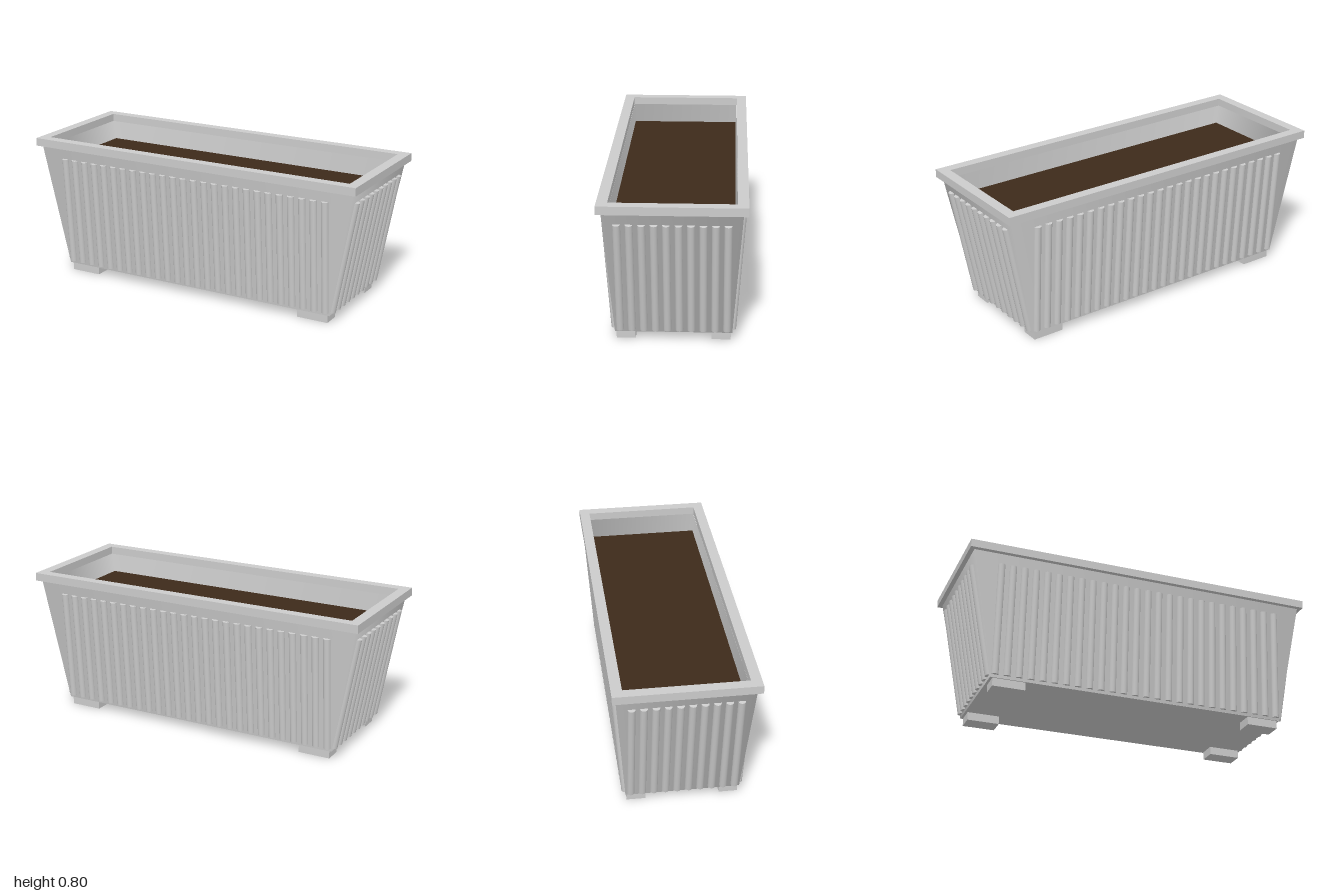
import * as THREE from 'three';

const BASE_Y = 0.045, WALL_TOP = 0.756;
const BASE = { x: 0.842, z: 0.305 }, TOP = { x: 0.975, z: 0.355 };

// Outer half-size of the tapered tub at height y
function wallAt(y, axis) {
  const t = (y - BASE_Y) / (WALL_TOP - BASE_Y);
  return THREE.MathUtils.lerp(BASE[axis], TOP[axis], t);
}

// Four-sided tapered wall with softly blended corners
function taperedWall(y0, y1, inset) {
  const h = y1 - y0;
  const topX = wallAt(y1, 'x') - inset, topZ = wallAt(y1, 'z') - inset;
  const ratio = (wallAt(y0, 'x') - inset) / topX;
  const geo = new THREE.CylinderGeometry(Math.SQRT2, Math.SQRT2 * ratio, h, 4, 1, true);
  geo.rotateY(Math.PI / 4);
  geo.scale(topX, 1, topZ);
  geo.translate(0, (y0 + y1) / 2, 0);
  return geo;
}

export function createModel() {
  const model = new THREE.Group();
  const grey = new THREE.MeshStandardMaterial({ color: 0xcccccc });
  const greyThin = new THREE.MeshStandardMaterial({ color: 0xcccccc, side: THREE.DoubleSide });
  const brown = new THREE.MeshStandardMaterial({ color: 0x3d2a1a });

  function add(name, geometry, material = grey, parent = model) {
    const mesh = new THREE.Mesh(geometry, material);
    mesh.name = name;
    parent.add(mesh);
    return mesh;
  }

  // Tub walls and floor
  add('outerWall', taperedWall(BASE_Y, WALL_TOP, 0), grey);
  add('innerWall', taperedWall(0.08, WALL_TOP, 0.033), greyThin);
  add('floor', new THREE.BoxGeometry(BASE.x * 2, 0.035, BASE.z * 2)).position.y = BASE_Y + 0.0175;

  // Soil
  add('soil', new THREE.BoxGeometry(1.84, 0.04, 0.634), brown).position.y = 0.63;

  // Rim frame
  const frame = new THREE.Shape([[-1, -0.38], [1, -0.38], [1, 0.38], [-1, 0.38]]
    .map(([x, y]) => new THREE.Vector2(x, y)));
  frame.holes.push(new THREE.Path([[-0.942, -0.323], [-0.942, 0.323], [0.942, 0.323], [0.942, -0.323]]
    .map(([x, y]) => new THREE.Vector2(x, y))));
  const rimGeo = new THREE.ExtrudeGeometry(frame, { depth: 0.045, bevelEnabled: false });
  rimGeo.rotateX(-Math.PI / 2);
  add('rim', rimGeo).position.y = 0.755;

  // Rounded slats, half sunk into the sloping walls
  const y0 = 0.061, y1 = 0.692;
  const slatRow = (name, axis, sign, count, reach) => {
    const row = new THREE.Group();
    row.name = name;
    const low = wallAt(y0, axis), high = wallAt(y1, axis);
    const tilt = Math.atan2(high - low, y1 - y0);
    const geo = new THREE.CylinderGeometry(0.02, 0.02, Math.hypot(high - low, y1 - y0), 12);
    for (let i = 0; i < count; i++) {
      const along = THREE.MathUtils.lerp(-reach, reach, i / (count - 1));
      const out = sign * (low + high) / 2;
      const slat = add('slat', geo, grey, row);
      if (axis === 'z') {
        slat.position.set(along, (y0 + y1) / 2, out);
        slat.rotation.x = sign * tilt;
      } else {
        slat.position.set(out, (y0 + y1) / 2, along);
        slat.rotation.z = -sign * tilt;
      }
    }
    model.add(row);
  };
  slatRow('frontSlats', 'z', 1, 26, 0.818);
  slatRow('backSlats', 'z', -1, 26, 0.818);
  slatRow('leftSlats', 'x', 1, 10, 0.279);
  slatRow('rightSlats', 'x', -1, 10, 0.279);

  // Feet
  const footGeo = new THREE.BoxGeometry(0.18, 0.05, 0.1);
  for (const sx of [-1, 1]) {
    for (const sz of [-1, 1]) {
      add('foot', footGeo).position.set(sx * 0.738, 0.025, sz * 0.249);
    }
  }
  return model;
}
